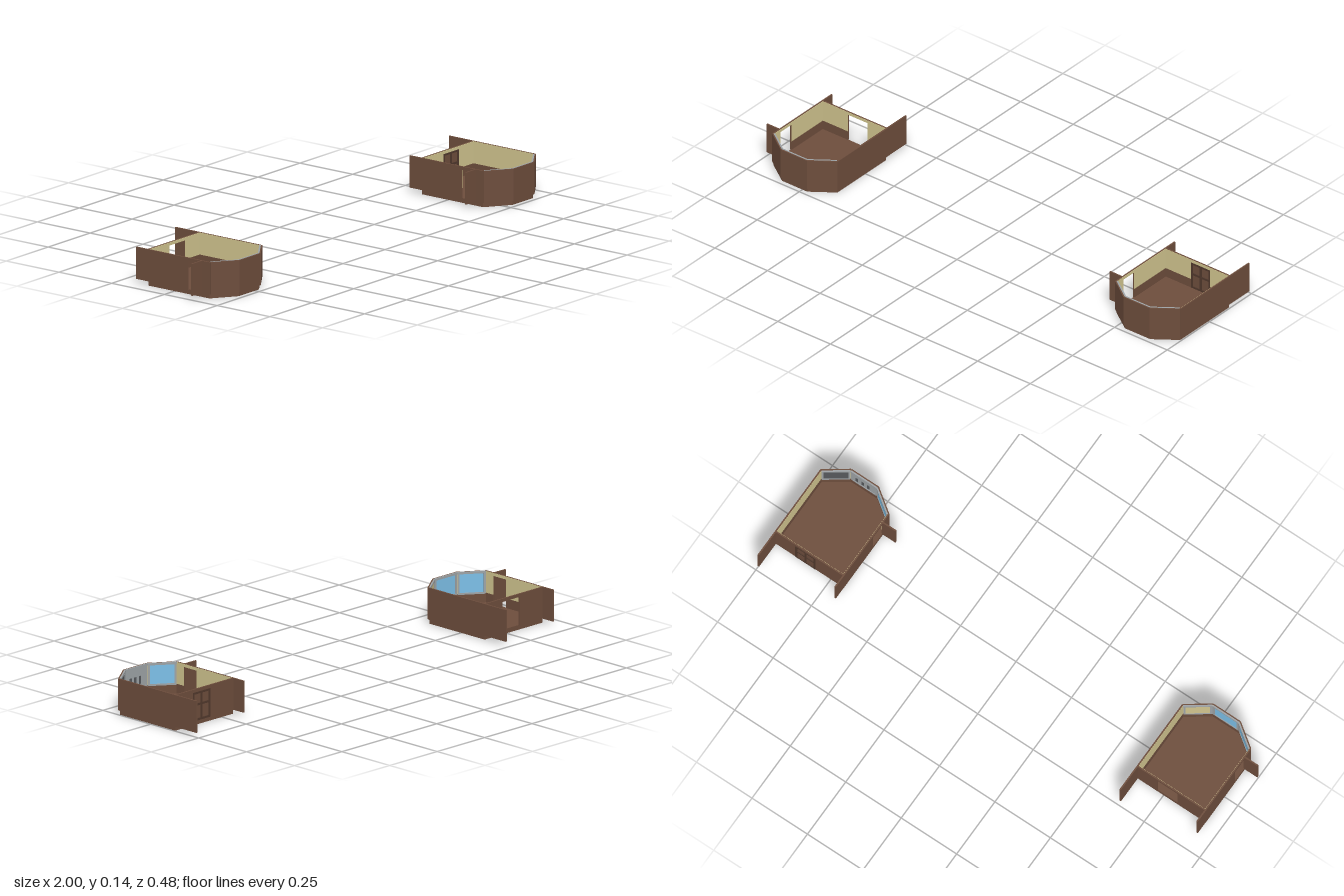
import * as THREE from 'three';

const mat = (name, color) => Object.assign(new THREE.MeshStandardMaterial({ color }), { name });
const brown = mat('brown wood', 0x6d4d3c);
const darkBrown = mat('dark door trim', 0x50382c);
const beige = mat('beige plaster', 0xd0c48e);
const grey = mat('grey window frame', 0x9da2a5);
const darkGrey = mat('dark grey panel', 0x55585b);
const blue = mat('blue window', 0x7cbfe6);

const Y0 = 0.017, TOP = 0.14, DADO = 0.055, HEAD = 0.128;
const T = 0.006; // wall thickness, centred on the wall line

// Upright slab from a to b (x, z), between u0 and u1 along it.
// Its inner side lies to the left of travel; off is the inward offset.
function slab(parent, name, material, a, b, u0, u1, y0, y1, off, t) {
  const dx = b[0] - a[0], dz = b[1] - a[1], len = Math.hypot(dx, dz);
  const mesh = new THREE.Mesh(new THREE.BoxGeometry(u1 - u0, y1 - y0, t), material);
  const u = (u0 + u1) / 2 / len, w = (off + t / 2) / len;
  mesh.position.set(a[0] + dx * u - dz * w, (y0 + y1) / 2, a[1] + dz * u + dx * w);
  mesh.rotation.y = -Math.atan2(dz, dx);
  mesh.name = name;
  parent.add(mesh);
}

// Wall with a brown outside, a brown dado and a beige upper lining; optional doorway
function wall(parent, name, a, b, door) {
  const g = new THREE.Group();
  g.name = name;
  const len = Math.hypot(b[0] - a[0], b[1] - a[1]);
  const spans = door ? [[0, door[0]], [door[1], len]] : [[0, len]];
  for (const [s, e] of spans) {
    slab(g, 'outerWall', brown, a, b, s, e, Y0, TOP, -T / 2, T);
    slab(g, 'dado', brown, a, b, s, e, Y0, DADO, T / 2, 0.001);
    slab(g, 'plaster', beige, a, b, s, e, DADO, TOP - 0.0005, T / 2, 0.001);
  }
  if (door) {
    slab(g, 'lintel', brown, a, b, door[0], door[1], HEAD, TOP, -T / 2, T);
    slab(g, 'lintelPlaster', beige, a, b, door[0], door[1], HEAD, TOP - 0.0005, T / 2, 0.001);
  }
  parent.add(g);
}

// Front bay panel: wall, grey frame and a coloured pane on the inside
function bay(parent, name, a, b, pane) {
  const g = new THREE.Group();
  g.name = name;
  const len = Math.hypot(b[0] - a[0], b[1] - a[1]);
  wall(g, 'bayWall', a, b);
  slab(g, 'pane', pane, a, b, 0.008, len - 0.008, DADO, 0.132, 0.004, 0.001);
  slab(g, 'topRail', grey, a, b, 0.002, len - 0.002, 0.132, TOP + 0.0005, 0.002, 0.006);
  slab(g, 'sill', grey, a, b, 0.004, len - 0.004, DADO - 0.003, DADO + 0.004, 0.003, 0.004);
  for (const u of [0.003, len - 0.011])
    slab(g, 'framePost', grey, a, b, u, u + 0.008, DADO, 0.132, 0.003, 0.004);
  parent.add(g);
  return g;
}

// Closed door with raised frame strips on both sides
function closedDoor(parent, a, b, u0, u1) {
  const g = new THREE.Group();
  g.name = 'closedDoor';
  slab(g, 'doorLeaf', brown, a, b, u0, u1, Y0, HEAD, -0.001, 0.002);
  const w = 0.008, mid = (u0 + u1) / 2;
  for (const u of [u0, mid - w / 2, u1 - w])
    slab(g, 'doorStile', darkBrown, a, b, u, u + w, Y0, HEAD, -0.0045, 0.009);
  for (const y of [Y0, 0.075, HEAD - w])
    slab(g, 'doorRail', darkBrown, a, b, u0, u1, y, y + w, -0.0043, 0.0086);
  parent.add(g);
}

function room(name, x, panes, hasDoor) {
  const g = new THREE.Group();
  g.name = name;
  const L = -0.153, R = 0.153, C = 0.061, back = -0.125, side = 0.169, front = 0.235;
  const bl = [L, back], br = [R, back], fr = [R, side], fl = [L, side];
  const cr = [C, front], cl = [-C, front];

  // Floor slab
  const outline = [[L, 0.123], [R - 0.002, 0.123], [R - 0.002, -0.166],
    [C - 0.001, -0.231], [-C + 0.001, -0.231], [L, -0.166]];
  const shape = new THREE.Shape(outline.map(p => new THREE.Vector2(...p)));
  const floorGeo = new THREE.ExtrudeGeometry(shape, { depth: Y0 + 0.001, bevelEnabled: false });
  floorGeo.rotateX(-Math.PI / 2);
  const floor = new THREE.Mesh(floorGeo, brown);
  floor.name = 'floor';
  g.add(floor);

  // Straight walls
  wall(g, 'backWall', bl, br, [0.124, 0.216]);
  wall(g, 'leftSideWall', br, fr);
  wall(g, 'rightSideWall', fl, bl, [0.04, 0.105]);
  if (hasDoor) closedDoor(g, bl, br, 0.124, 0.216);

  // Side walls running on past the back
  slab(g, 'leftWallExtension', brown, [R, -0.238], br, 0, 0.113, Y0, TOP, -T / 2, T);
  slab(g, 'rightWallExtension', brown, bl, [L, -0.18], 0, 0.055, Y0, TOP, -T / 2, T);

  // Side door swung open
  slab(g, 'openSideDoor', brown, [-0.213, 0.13], [L, 0.13], 0, 0.06, Y0, TOP, -T / 2, T);

  // Angled front bay
  bay(g, 'leftBay', fr, cr, panes[0]);
  const middle = bay(g, 'frontBay', cr, cl, panes[1]);
  bay(g, 'rightBay', cl, fl, panes[2]);
  if (hasDoor) {
    // Dark bars over the middle panel
    for (const u of [0.025, 0.05, 0.075])
      slab(middle, 'panelBar', darkGrey, cr, cl, u, u + 0.01, 0.07, 0.1, 0.005, 0.002);
  }
  g.position.x = x;
  return g;
}

export function createModel() {
  const model = new THREE.Group();
  model.name = 'pairOfRooms';
  model.add(room('rightRoom', -0.787, [beige, blue, blue], false));
  model.add(room('leftRoom', 0.844, [darkGrey, grey, blue], true));
  return model;
}
